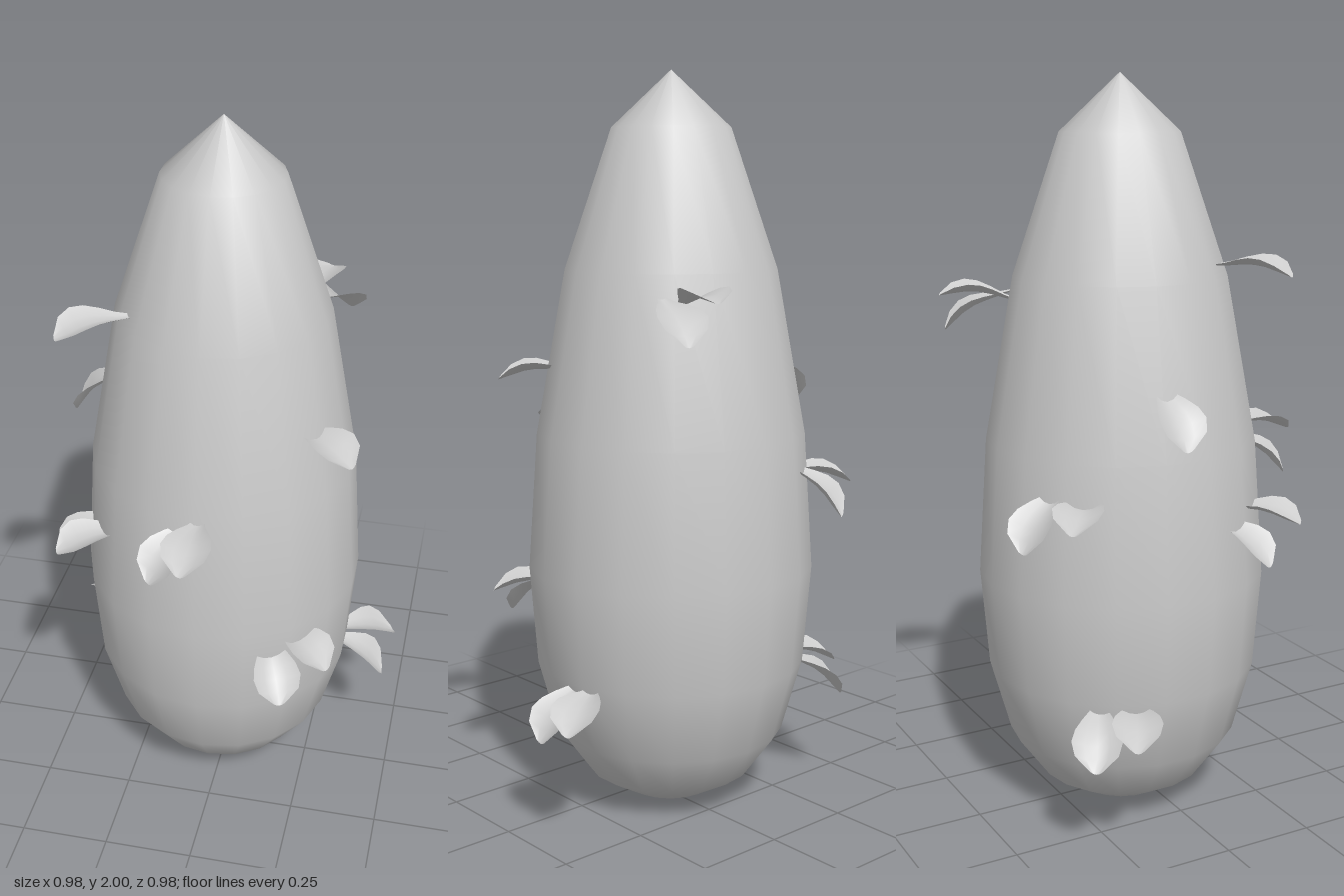
import * as THREE from 'three';

const material = new THREE.MeshStandardMaterial({ color: 0xcccccc, side: THREE.DoubleSide });

// Half-width of a leaf from its stalk (0) to its tip (1), in even steps
const WIDTHS = [0.012, 0.024, 0.042, 0.058, 0.066, 0.056, 0.016];
const LENGTH = 0.21;

// Cupped, arched leaf lying along +z with its tip at the origin
function leafGeometry() {
  const rows = WIDTHS.length - 1;
  const geometry = new THREE.PlaneGeometry(2, 1, 4, rows);
  const p = geometry.attributes.position;
  for (let i = 0; i < p.count; i++) {
    const u = p.getX(i);
    const t = 0.5 - p.getY(i);
    const w = WIDTHS[Math.round(t * rows)];
    const arch = 0.03 * Math.sin(Math.PI * Math.pow(t, 1.3));
    const cup = 0.4 * w * u * u - 0.25 * w;
    const tipRound = t > 0.99 ? 0.004 * u * u : 0;
    p.setXYZ(i, u * w, arch + cup, (t - 1) * LENGTH - tipRound);
  }
  geometry.computeVertexNormals();
  return geometry;
}

// Each leaf: a point near its stalk, then its tip
const LEAVES = [
  // front pair
  [-0.01, 1.03, 0.28, -0.015, 1.0, 0.49],
  [-0.04, 1.0, 0.28, -0.12, 0.9, 0.41],
  // right side, from high to low
  [-0.215, 1.515, 0.1, -0.39, 1.495, 0.235],
  [-0.35, 1.19, -0.11, -0.46, 1.09, -0.11],
  [-0.3, 0.86, 0.17, -0.42, 0.845, 0.26],
  [-0.36, 0.82, 0.09, -0.46, 0.755, 0.14],
  // back right pairs
  [-0.27, 0.92, -0.3, -0.39, 0.9, -0.395],
  [-0.22, 0.92, -0.38, -0.27, 0.83, -0.475],
  [-0.34, 0.37, -0.19, -0.485, 0.335, -0.265],
  [-0.3, 0.37, -0.28, -0.42, 0.27, -0.35],
  // back left pair
  [0.15, 1.405, -0.3, 0.21, 1.425, -0.49],
  [0.22, 1.4, -0.32, 0.27, 1.32, -0.455],
  // left side pair
  [0.34, 0.38, -0.15, 0.48, 0.33, -0.235],
  [0.33, 0.38, -0.09, 0.465, 0.27, -0.1],
  // front left leaves
  [0.25, 1.205, 0.1, 0.37, 1.19, 0.195],
  [0.22, 0.6, 0.18, 0.34, 0.58, 0.28],
  [0.18, 0.57, 0.25, 0.225, 0.49, 0.35],
];

export function createModel() {
  const model = new THREE.Group();
  model.name = 'leafyPod';

  // Tapering pod body
  const profile = [
    [0, 0], [0.117, 0.015], [0.23, 0.08], [0.317, 0.2], [0.372, 0.4],
    [0.393, 0.67], [0.368, 1.04], [0.288, 1.48], [0.161, 1.85], [0, 2],
  ].map(([r, y]) => new THREE.Vector2(r, y));
  const body = new THREE.Mesh(new THREE.LatheGeometry(profile, 18), material);
  body.name = 'body';
  body.position.set(-0.02, 0, -0.063);
  model.add(body);

  // Small leaves sprouting around the body
  const leaves = new THREE.Group();
  leaves.name = 'leaves';
  const geometry = leafGeometry();
  for (const [bx, by, bz, tx, ty, tz] of LEAVES) {
    const leaf = new THREE.Mesh(geometry, material);
    leaf.name = 'leaf';
    leaf.position.set(tx, ty, tz);
    leaf.lookAt(2 * tx - bx, 2 * ty - by, 2 * tz - bz);
    leaves.add(leaf);
  }
  model.add(leaves);
  return model;
}
